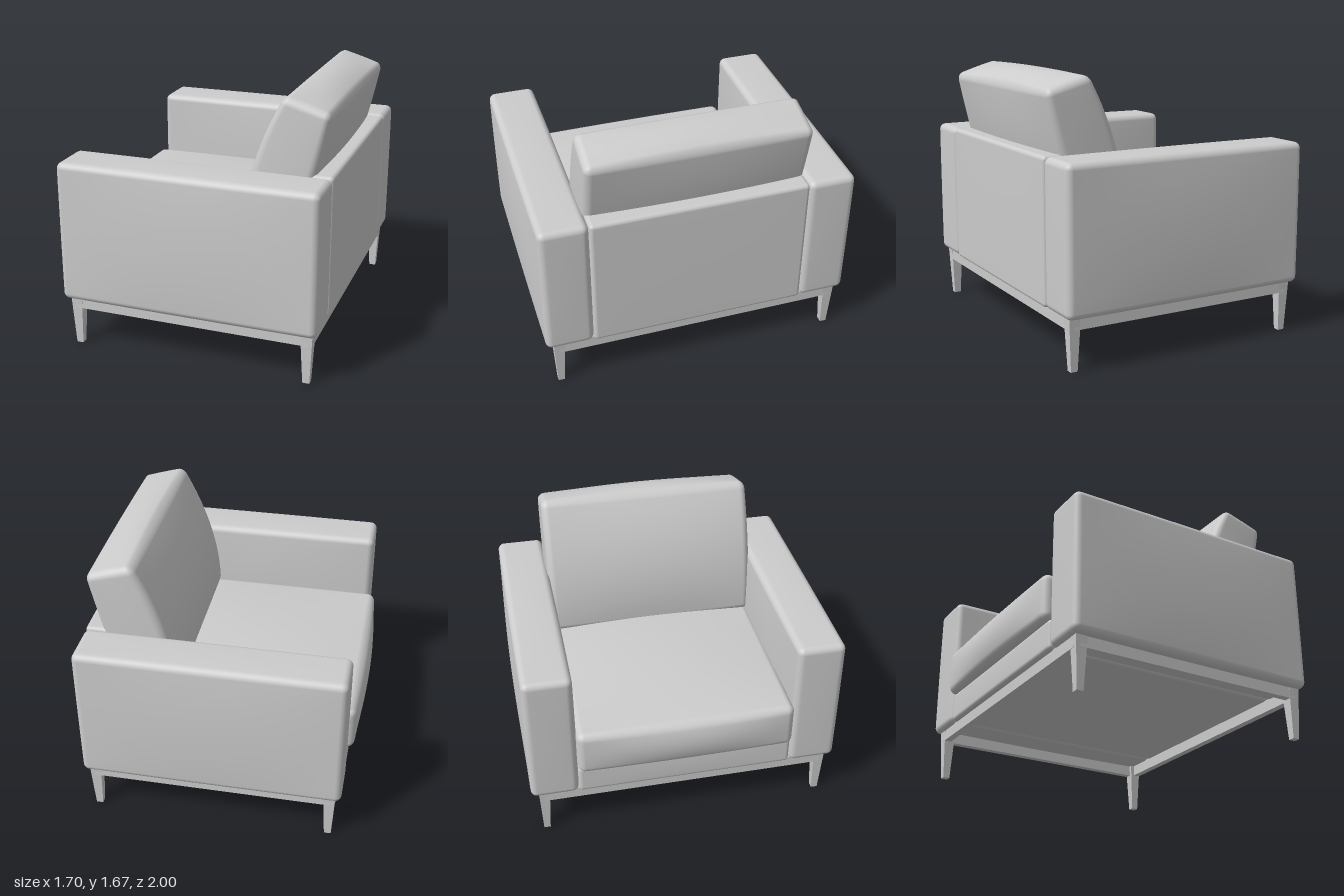
import * as THREE from 'three';
import { mergeVertices } from 'three/addons/utils/BufferGeometryUtils.js';

const N = 20, K = 4; // grid steps per edge, steps used by each rounded edge

// Rounded box between two corners; "bulge" puffs each axis outwards, "warp" moves points last
function cushion(min, max, r, bulge, warp) {
  const lo = new THREE.Vector3(...min), hi = new THREE.Vector3(...max);
  const c = lo.clone().add(hi).multiplyScalar(0.5);
  const h = hi.clone().sub(lo).multiplyScalar(0.5);
  const place = (u, half) => {
    const i = Math.round((u + 1) * N / 2), m = Math.min(i, N - i);
    const flat = half - r;
    if (m >= K) return flat * (i - N / 2) / (N / 2 - K);
    return Math.sign(u) * (flat + r * Math.tan((K - m) / K * Math.PI / 4));
  };
  let g = new THREE.BoxGeometry(2, 2, 2, N, N, N);
  g.deleteAttribute('normal');
  g.deleteAttribute('uv');
  const pos = g.attributes.position, p = new THREE.Vector3();
  const inner = h.clone().subScalar(r), core = new THREE.Vector3();
  for (let i = 0; i < pos.count; i++) {
    p.fromBufferAttribute(pos, i);
    p.set(place(p.x, h.x), place(p.y, h.y), place(p.z, h.z));
    core.copy(p).clamp(inner.clone().negate(), inner);
    p.sub(core).setLength(r).add(core);
    const a = p.x / h.x, b = p.y / h.y, d = p.z / h.z;
    p.x += bulge[0] * a * (1 - b * b) * (1 - d * d);
    p.y += bulge[1] * b * (1 - a * a) * (1 - d * d);
    p.z += bulge[2] * d * (1 - a * a) * (1 - b * b);
    p.add(c);
    if (warp) warp(p);
    pos.setXYZ(i, p.x, p.y, p.z);
  }
  g = mergeVertices(g, 1e-5);
  g.computeVertexNormals();
  return g;
}

export function createModel() {
  const group = new THREE.Group();
  const grey = new THREE.MeshStandardMaterial({ color: 0xcccccc });
  grey.name = 'lightGrey';
  const add = (name, geometry, x = 0, y = 0, z = 0) => {
    const mesh = new THREE.Mesh(geometry, grey);
    mesh.name = name;
    mesh.position.set(x, y, z);
    group.add(mesh);
  };

  // Arms
  add('leftArm', cushion([-0.78, 0.32, 0.68], [0.845, 1.21, 0.98], 0.04, [0.004, 0.006, 0.02]));
  add('rightArm', cushion([-0.78, 0.32, -0.98], [0.845, 1.21, -0.68], 0.04, [0.004, 0.006, 0.02]));

  // Back panel and seat base
  add('backPanel', cushion([0.62, 0.32, -0.68], [0.845, 1.21, 0.68], 0.025, [0.003, 0, 0]));
  add('seatBase', cushion([-0.775, 0.32, -0.68], [0.68, 0.51, 0.68], 0.025, [0.004, 0, 0]));

  // Seat cushion
  add('seatCushion', cushion([-0.815, 0.5, -0.68], [0.63, 0.8, 0.68], 0.045, [0.037, 0.045, 0.01]));

  // Back cushion: a unit block laid into a leaning, tapering side outline
  const lean = (p) => {
    const s = p.x / 0.36 + 0.5, t = p.y / 0.86;
    const mid = Math.max(0, 1 - (2 * t - 1) ** 2);
    const front = 0.29 + 0.25 * t - 0.06 * mid;
    const back = 0.62 + 0.2 * t + 0.01 * mid;
    p.x = front + (back - front) * s;
    p.y = 0.79 + t * (0.87 - 0.085 * s);
  };
  add('backCushion', cushion([-0.18, 0, -0.685], [0.18, 0.86, 0.685], 0.045, [0.02, 0.035, 0.008], lean));

  // Frame rails under the body
  const rail = 0.045, y = 0.287, height = 0.075;
  for (const s of [-1, 1]) {
    add('sideRail', new THREE.BoxGeometry(1.5, height, rail), 0.035, y, s * 0.907);
    add('crossRail', new THREE.BoxGeometry(rail, height, 1.8), 0.035 + s * 0.755, y, 0);
  }

  // Tapered square legs
  const leg = new THREE.BoxGeometry(0.074, 0.325, 0.07).toNonIndexed();
  const lp = leg.attributes.position;
  for (let i = 0; i < lp.count; i++) {
    if (lp.getY(i) < 0) lp.setXYZ(i, lp.getX(i) * 0.58, lp.getY(i), lp.getZ(i) * 0.58);
  }
  leg.computeVertexNormals();
  for (const x of [-0.707, 0.778])
    for (const z of [-0.897, 0.897]) add('leg', leg, x, 0.1625, z);

  return group;
}
